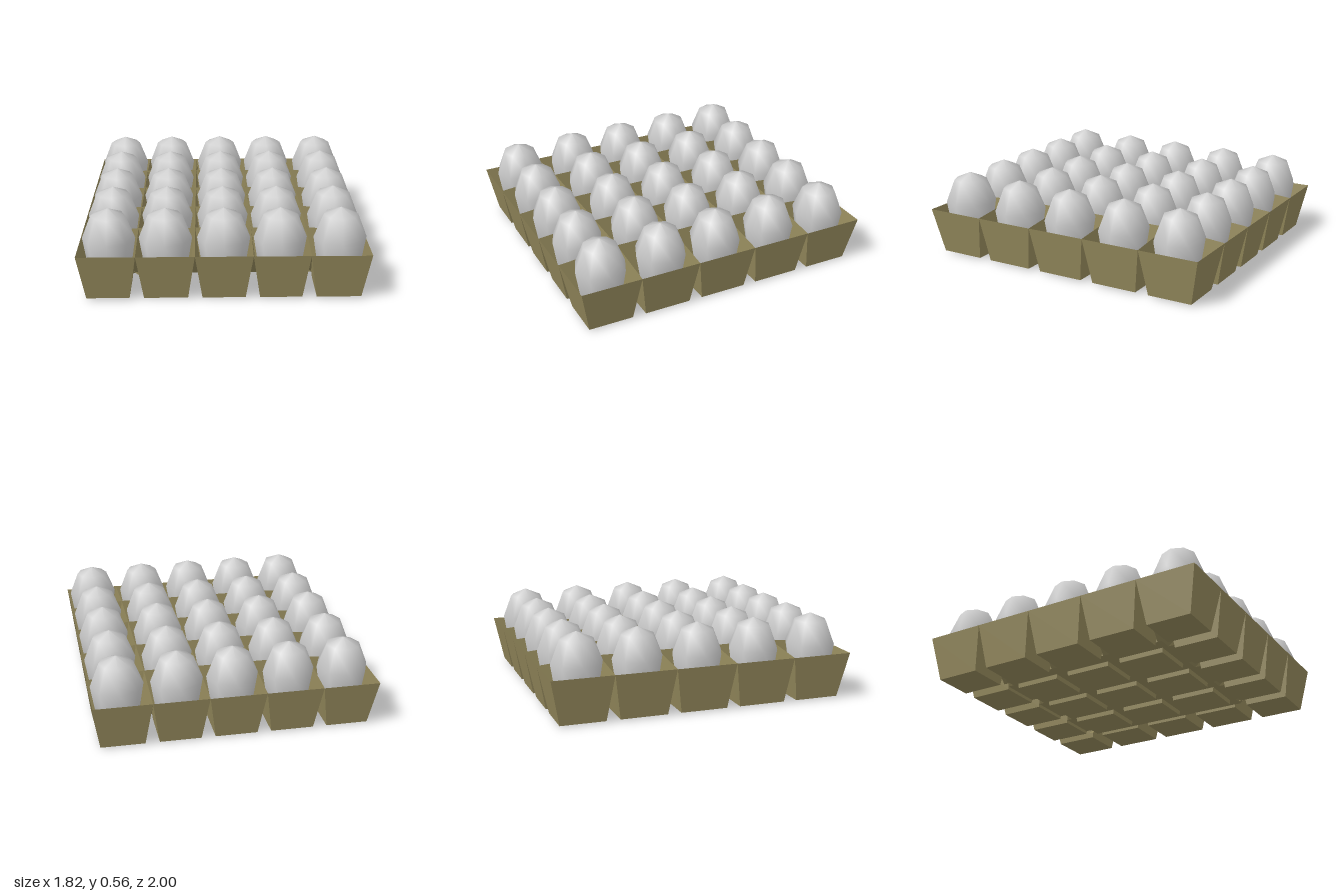
import * as THREE from 'three';

const COLS = 5, ROWS = 5;
const nodeX = [-0.91, -0.545, -0.18, 0.18, 0.535, 0.91];
const nodeZ = [-1, -0.6, -0.2, 0.2, 0.6, 1];
const eggX = [-0.72, -0.365, 0, 0.355, 0.73];
const eggZ = [-0.79, -0.4, 0, 0.39, 0.8];
const GAP = 0.045, WEB_Y = 0.03;

const trayMaterial = new THREE.MeshStandardMaterial({
  color: 0x94895c, flatShading: true, side: THREE.DoubleSide,
});
const eggMaterial = new THREE.MeshStandardMaterial({ color: 0xcccccc });

// Mesh from a list of triangles and quads, each an array of [x, y, z] corners
function facesMesh(name, faces) {
  const positions = [];
  for (const f of faces) {
    for (let k = 2; k < f.length; k++) positions.push(...f[0], ...f[k - 1], ...f[k]);
  }
  const geometry = new THREE.BufferGeometry();
  geometry.setAttribute('position', new THREE.Float32BufferAttribute(positions, 3));
  geometry.computeVertexNormals();
  const mesh = new THREE.Mesh(geometry, trayMaterial);
  mesh.name = name;
  return mesh;
}

const onEdge = (i, n) => i === 0 || i === n;

// Rim point at a grid node: inner nodes rise to small peaks
function rim(i, j) {
  const y = onEdge(i, COLS) || onEdge(j, ROWS) ? 0.31 : 0.345;
  return [nodeX[i], y, nodeZ[j]];
}

// Tapered square cup with an open top
function createCup(i, j) {
  const outer = onEdge(i, COLS - 1) || onEdge(j, ROWS - 1);
  const y = outer ? 0.01 : 0;
  const x0 = nodeX[i] + (i === 0 ? 0.05 : GAP), x1 = nodeX[i + 1] - (i === COLS - 1 ? 0.05 : GAP);
  const z0 = nodeZ[j] + (j === 0 ? 0.06 : GAP), z1 = nodeZ[j + 1] - (j === ROWS - 1 ? 0.06 : GAP);
  const top = [rim(i, j), rim(i, j + 1), rim(i + 1, j + 1), rim(i + 1, j)];
  const base = [[x0, y, z0], [x0, y, z1], [x1, y, z1], [x1, y, z0]];
  const faces = [[base[0], base[3], base[2], base[1]]];
  for (let k = 0; k < 4; k++) {
    const n = (k + 1) % 4;
    faces.push([top[k], base[k], base[n], top[n]]);
  }
  return facesMesh('cup', faces);
}

// Webs that close the gaps underneath: sloping at the border, level inside
function createWebs() {
  const faces = [];
  for (let i = 1; i < COLS; i++) {
    const x = nodeX[i];
    for (const [edge, inner] of [[0, 1], [ROWS, ROWS - 1]]) {
      const z = nodeZ[inner];
      faces.push([rim(i, edge), [x - GAP, WEB_Y, z], [x + GAP, WEB_Y, z]]);
    }
    faces.push([[x - GAP, WEB_Y, nodeZ[1]], [x + GAP, WEB_Y, nodeZ[1]],
      [x + GAP, WEB_Y, nodeZ[ROWS - 1]], [x - GAP, WEB_Y, nodeZ[ROWS - 1]]]);
  }
  for (let j = 1; j < ROWS; j++) {
    const z = nodeZ[j];
    for (const [edge, inner] of [[0, 1], [COLS, COLS - 1]]) {
      const x = nodeX[inner];
      faces.push([rim(edge, j), [x, WEB_Y, z - GAP], [x, WEB_Y, z + GAP]]);
    }
    // Level strips between the crossing ones
    for (let i = 1; i < COLS - 1; i++) {
      const a = nodeX[i] + GAP, b = nodeX[i + 1] - GAP;
      faces.push([[a, WEB_Y, z - GAP], [b, WEB_Y, z - GAP], [b, WEB_Y, z + GAP], [a, WEB_Y, z + GAP]]);
    }
  }
  return facesMesh('underWebs', faces);
}

export function createModel() {
  const model = new THREE.Group();
  model.name = 'eggTray';

  const tray = new THREE.Group();
  tray.name = 'tray';
  tray.add(createWebs());

  // Eight-sided egg, blunt end down
  const profile = [[0, 0.03], [0.09, 0.07], [0.14, 0.19], [0.167, 0.36], [0.108, 0.51], [0, 0.557]];
  const eggGeometry = new THREE.LatheGeometry(profile.map(([r, y]) => new THREE.Vector2(r, y)), 8);
  const eggs = new THREE.Group();
  eggs.name = 'eggs';

  for (let i = 0; i < COLS; i++) {
    for (let j = 0; j < ROWS; j++) {
      tray.add(createCup(i, j));
      const egg = new THREE.Mesh(eggGeometry, eggMaterial);
      egg.name = 'egg';
      egg.position.set(eggX[i], 0, eggZ[j]);
      eggs.add(egg);
    }
  }
  model.add(tray, eggs);
  return model;
}
